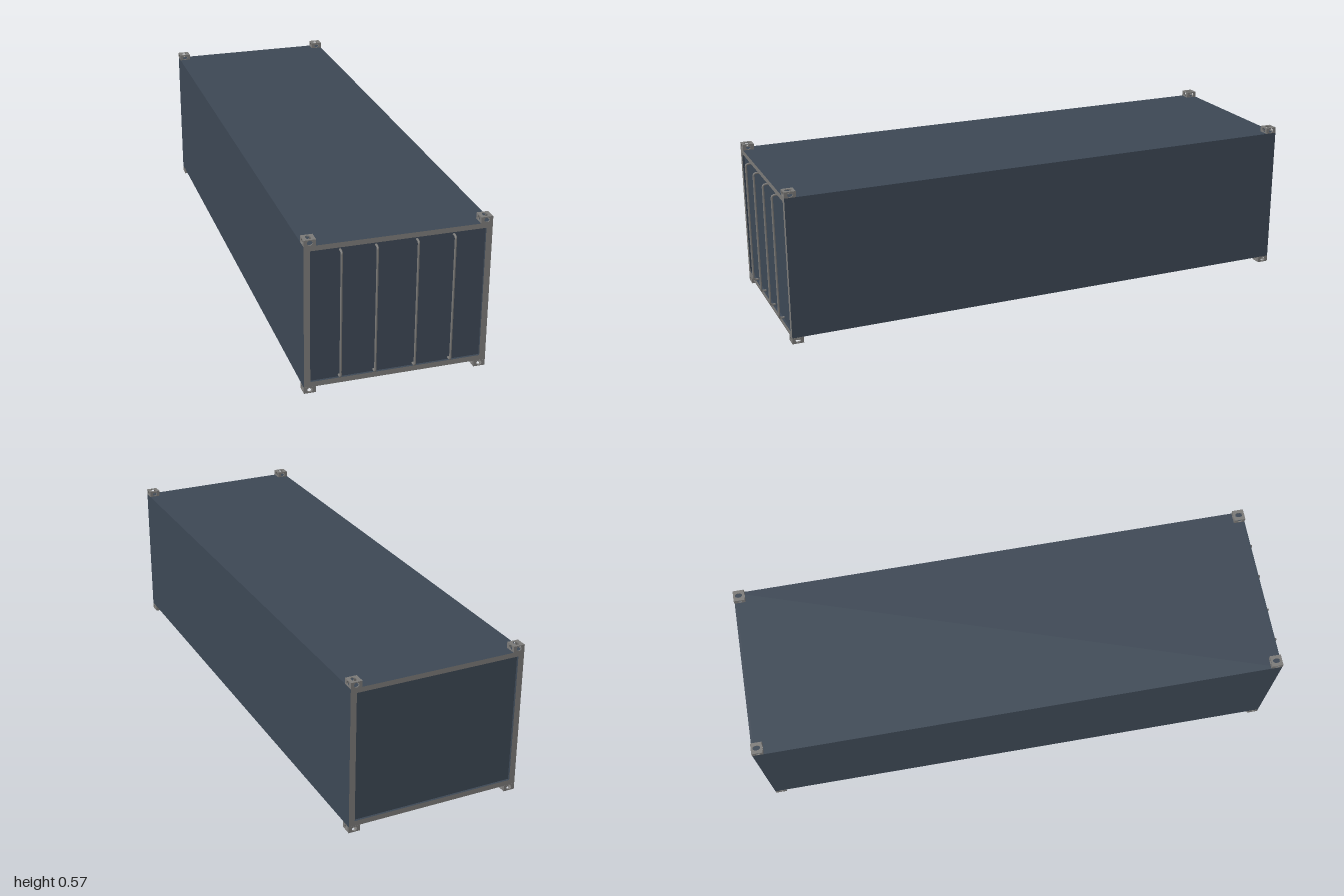
import * as THREE from 'three';

const BACK = -1, FRONT = 0.985, RECESS = 0.008;
const HALF_W = 0.325, BOTTOM = 0.023, TOP = 0.545;

function material(name, color) {
  const m = new THREE.MeshStandardMaterial({ color });
  m.name = name;
  return m;
}

function rect(x0, y0, x1, y1, Type = THREE.Shape) {
  return new Type([[x0, y0], [x1, y0], [x1, y1], [x0, y1]].map(p => new THREE.Vector2(...p)));
}

// Thin plate with an oval hole, centred on the origin
function holedPlate(w, h, rx, ry, t) {
  const shape = rect(-w / 2, -h / 2, w / 2, h / 2);
  shape.holes.push(new THREE.Path().absellipse(0, 0, rx, ry, 0, Math.PI * 2, true));
  return new THREE.ExtrudeGeometry(shape, { depth: t, bevelEnabled: false, curveSegments: 10 })
    .translate(0, 0, -t / 2);
}

// Hollow corner block: four pierced walls and one pierced cap facing outwards
function cornerCasting(mat, up) {
  const g = new THREE.Group();
  const s = 0.042, h = 0.0225, t = 0.004, d = s / 2 - t / 2;
  const wall = holedPlate(s, h, 0.0095, 0.0085, t);
  for (let i = 0; i < 4; i++) {
    const mesh = new THREE.Mesh(wall, mat);
    mesh.name = 'castingWall';
    const a = i * Math.PI / 2;
    mesh.rotation.y = a;
    mesh.position.set(Math.sin(a) * d, 0, Math.cos(a) * d);
    g.add(mesh);
  }
  const cap = new THREE.Mesh(holedPlate(s, s, 0.009, 0.014, 0.003), mat);
  cap.name = 'castingCap';
  cap.rotation.x = Math.PI / 2;
  cap.position.y = up * (h / 2 - 0.0015);
  g.add(cap);
  return g;
}

export function createModel() {
  const model = new THREE.Group();
  model.name = 'shippingContainer';
  const blue = material('slateBluePaint', 0x3c4754);
  const grey = material('greySteel', 0x7a7977);

  const add = (name, geometry, mat) => {
    const mesh = new THREE.Mesh(geometry, mat);
    mesh.name = name;
    model.add(mesh);
    return mesh;
  };

  // Main box with a grey underside
  const length = FRONT - BACK - 2 * RECESS, midZ = (FRONT + BACK) / 2;
  add('body', new THREE.BoxGeometry(2 * HALF_W, TOP - BOTTOM, length),
    [blue, blue, blue, grey, blue, blue]).position.set(0, (TOP + BOTTOM) / 2, midZ);

  // End frames standing proud of the recessed panels
  const frame = rect(-HALF_W, BOTTOM, HALF_W, TOP);
  frame.holes.push(rect(-0.303, 0.042, 0.303, 0.527, THREE.Path));
  const frameGeo = new THREE.ExtrudeGeometry(frame, { depth: RECESS, bevelEnabled: false });
  add('frontFrame', frameGeo, [grey, blue]).position.z = FRONT - RECESS;
  add('backFrame', frameGeo, [grey, blue]).position.z = BACK;

  // Door locking rods, bent back to the panel at both ends
  const panelZ = FRONT - RECESS, rodZ = 0.996;
  const path = new THREE.CatmullRomCurve3([
    [0.049, panelZ], [0.049, 0.989], [0.054, rodZ], [0.07, rodZ],
    [0.5, rodZ], [0.511, rodZ], [0.516, 0.989], [0.516, panelZ],
  ].map(([y, z]) => new THREE.Vector3(0, y, z)), false, 'centripetal');
  const rodGeo = new THREE.TubeGeometry(path, 80, 0.004, 10);
  for (const x of [-0.201, -0.079, 0.062, 0.191]) add('lockingRod', rodGeo, grey).position.x = x;

  // Corner castings above and below each corner
  for (const x of [-0.304, 0.304]) {
    for (const z of [BACK + 0.021, FRONT - 0.021]) {
      for (const up of [-1, 1]) {
        const casting = cornerCasting(grey, up);
        casting.name = up > 0 ? 'topCornerCasting' : 'bottomCornerCasting';
        casting.position.set(x, up > 0 ? 0.5558 : 0.0113, z);
        model.add(casting);
      }
    }
  }
  return model;
}
